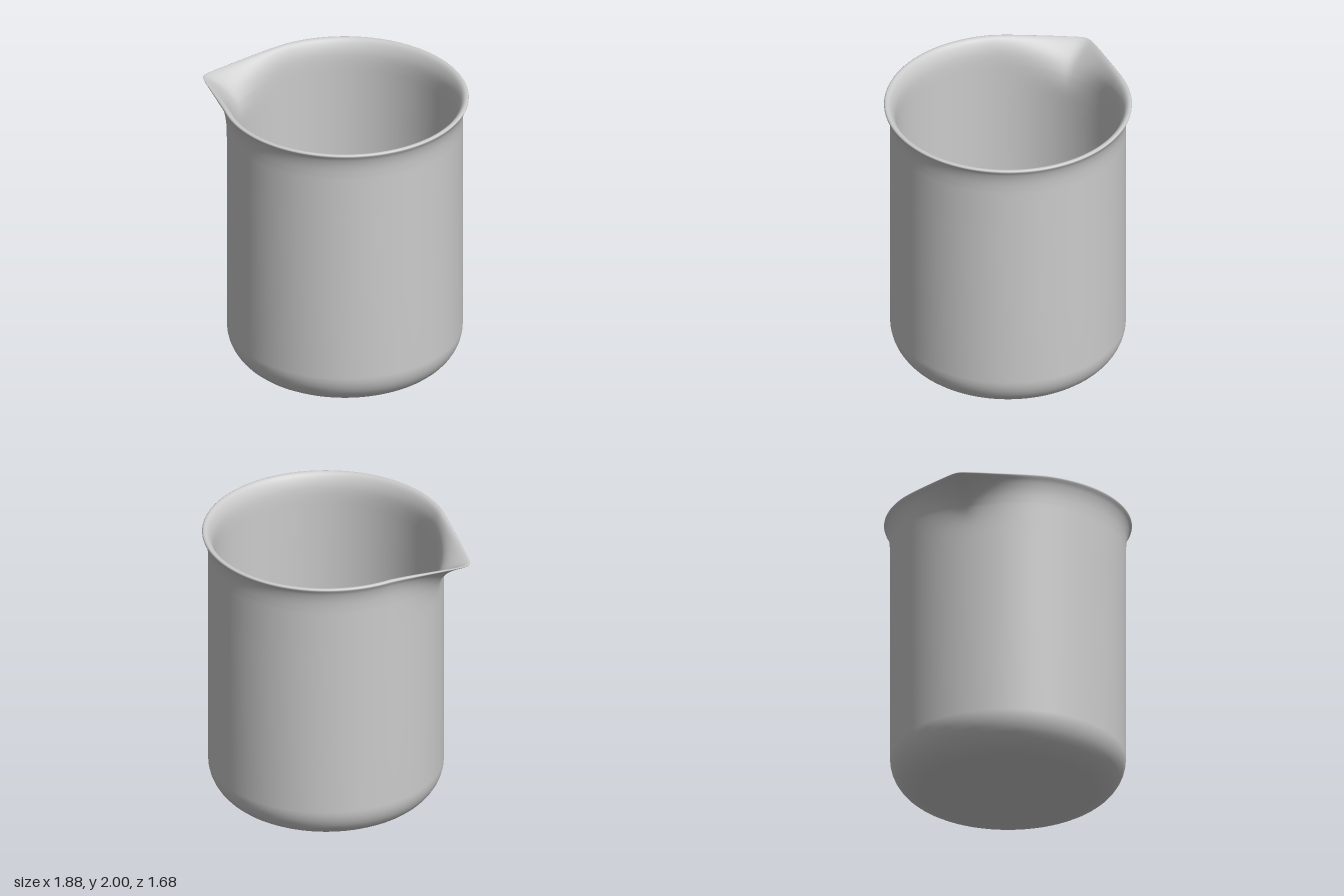
import * as THREE from 'three';
import { mergeVertices } from 'three/addons/utils/BufferGeometryUtils.js';

const CENTRE_X = 0.1;      // body axis, shifted to balance the spout
const RIM = 0.84;          // rim radius
const SPOUT_ANGLE = 0.677; // half angle covered by the spout

// Quarter-round corner between floor and wall
function corner(radius, r, floorY) {
  const pts = [];
  for (let i = 0; i <= 10; i++) {
    const a = (i / 10) * Math.PI / 2;
    pts.push(new THREE.Vector2(radius - r + r * Math.sin(a), floorY + r - r * Math.cos(a)));
  }
  return pts;
}

function wall(radius, from, to, steps) {
  const pts = [];
  for (let i = 0; i <= steps; i++) pts.push(new THREE.Vector2(radius, from + (to - from) * i / steps));
  return pts;
}

// Closed glass section: outer floor, wall, flared rim, inner wall, inner floor
function vesselProfile() {
  const rim = new THREE.SplineCurve([
    [0.8, 1.8], [0.803, 1.86], [0.81, 1.91], [0.823, 1.955], [0.838, 1.982], [0.84, 1.993], [0.832, 2],
    [0.815, 1.998], [0.797, 1.982], [0.78, 1.95], [0.768, 1.91], [0.762, 1.86], [0.76, 1.8],
  ].map(([x, y]) => new THREE.Vector2(x, y))).getPoints(36);
  return [
    new THREE.Vector2(0, 0), new THREE.Vector2(0.3, 0),
    ...corner(0.8, 0.25, 0), new THREE.Vector2(0.8, 0.9), ...wall(0.8, 1.5, 1.77, 8),
    ...rim,
    ...wall(0.76, 1.77, 1.5, 8), new THREE.Vector2(0.76, 0.9), ...corner(0.76, 0.21, 0.04).reverse(),
    new THREE.Vector2(0.3, 0.04), new THREE.Vector2(0, 0.04),
  ];
}

// Pull the upper wall out along tangents that meet in a rounded tip, and dip it
function pullSpout(geometry) {
  const pos = geometry.attributes.position;
  for (let i = 0; i < pos.count; i++) {
    const x = pos.getX(i), y = pos.getY(i), z = pos.getZ(i);
    let radius = Math.hypot(x, z);
    let angle = Math.atan2(z, -x);
    angle -= 0.55 * Math.sin(angle); // finer spacing around the spout
    const near = Math.hypot(angle, 0.04);
    const t = Math.max(0, (y - 1.55) / 0.45);
    let dip = 0;
    if (near < SPOUT_ANGLE) {
      radius += (RIM / Math.cos(SPOUT_ANGLE - near) - RIM) * Math.pow(t, 3.5);
      dip = 0.072 * Math.pow(1 - near / SPOUT_ANGLE, 1.4) * t;
    }
    pos.setXYZ(i, -Math.cos(angle) * radius, y - dip, Math.sin(angle) * radius);
  }
}

export function createModel() {
  const group = new THREE.Group();
  group.name = 'beaker';

  // Vessel with pouring spout towards -x, seam placed opposite the spout
  let geometry = new THREE.LatheGeometry(vesselProfile(), 224, Math.PI / 2);
  pullSpout(geometry);
  geometry.deleteAttribute('uv');
  geometry.deleteAttribute('normal');
  geometry = mergeVertices(geometry, 1e-4);
  geometry.computeVertexNormals();

  const vessel = new THREE.Mesh(geometry, new THREE.MeshStandardMaterial({ color: 0xcccccc }));
  vessel.name = 'vessel';
  vessel.position.x = CENTRE_X;
  group.add(vessel);
  return group;
}
